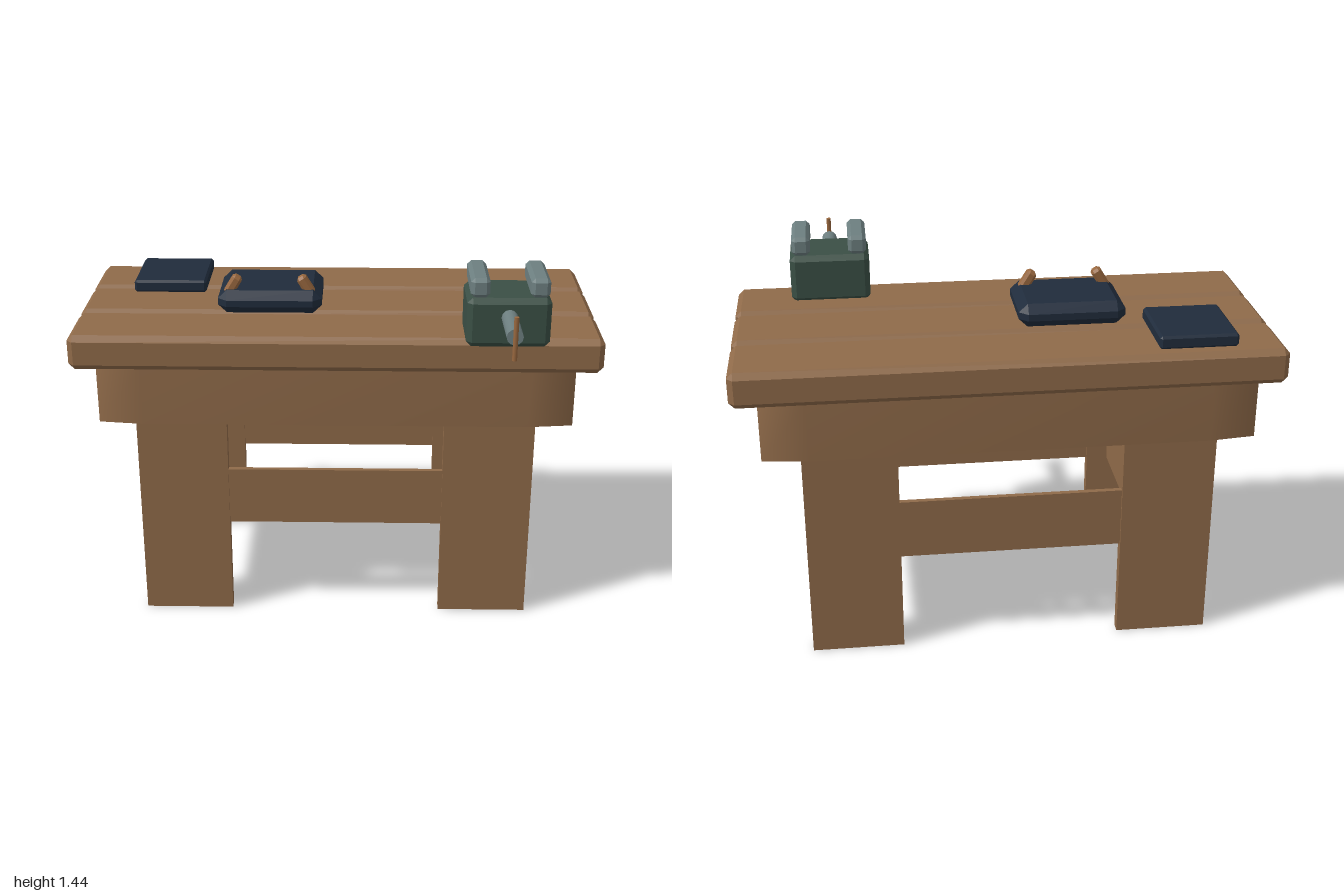
import * as THREE from 'three';
import { toCreasedNormals } from 'three/addons/utils/BufferGeometryUtils.js';
import { ConvexGeometry } from 'three/addons/geometries/ConvexGeometry.js';

const mat = (name, color) => {
  const m = new THREE.MeshStandardMaterial({ color });
  m.name = name;
  return m;
};

// box with every edge bevelled; bevel is [x, y, z]
function bevelBox(w, h, d, [bx, by, bz]) {
  const pts = [];
  for (const sx of [-1, 1]) for (const sy of [-1, 1]) for (const sz of [-1, 1]) {
    const add = (x, y, z) => pts.push(new THREE.Vector3(sx * x, sy * y, sz * z));
    add(w / 2, h / 2 - by, d / 2 - bz);
    add(w / 2 - bx, h / 2, d / 2 - bz);
    add(w / 2 - bx, h / 2 - by, d / 2);
  }
  return new ConvexGeometry(pts);
}

export function createModel() {
  const model = new THREE.Group();
  model.name = 'workbench';
  const wood = mat('wood', 0x8f6a49);
  const handleWood = mat('handle wood', 0x99683f);
  const navy = mat('navy', 0x202c3c);
  const green = mat('dark green metal', 0x3a4f45);
  const steel = mat('grey steel', 0x6d7f80);

  const add = (name, geo, material, x, y, z) => {
    const m = new THREE.Mesh(geo, material);
    m.name = name;
    m.position.set(x, y, z);
    model.add(m);
    return m;
  };
  const midZ = -0.14;

  // three top planks
  for (let i = -1; i <= 1; i++)
    add('topPlank', bevelBox(2, 0.135, 0.288, [0.022, 0.022, 0.022]), wood, 0, 1.1225, -0.1425 + i * 0.297);

  // apron: eight-sided block with shallow, softly shaded corners
  const apron = new THREE.CylinderGeometry(1, 1, 0.23, 8, 1, false, Math.PI / 8);
  const p = apron.attributes.position;
  const stretch = (v, far, near) => (Math.abs(v) < 0.01 ? 0 : Math.sign(v) * (Math.abs(v) > 0.5 ? far : near));
  for (let i = 0; i < p.count; i++)
    p.setXYZ(i, stretch(p.getX(i), 0.905, 0.735), p.getY(i), stretch(p.getZ(i), 0.405, 0.385));
  add('apron', toCreasedNormals(apron, 1.5), wood, 0, 0.94, midZ);

  // flat legs and the stretchers joining them
  for (const s of [-1, 1]) {
    for (const t of [-1, 1])
      add('leg', new THREE.BoxGeometry(0.348, 0.83, 0.04), wood, s * 0.591, 0.415, midZ + t * 0.365);
    add('longStretcher', new THREE.BoxGeometry(0.84, 0.23, 0.02), wood, 0, 0.505, midZ + s * 0.365);
    add('sideStretcher', new THREE.BoxGeometry(0.175, 0.23, 0.7), wood, s * 0.59, 0.505, midZ);
  }

  // flat case and tool bag with two leaning handles
  add('flatCase', bevelBox(0.29, 0.05, 0.31, [0.009, 0.009, 0.009]), navy, -0.675, 1.214, -0.375);
  add('toolBag', bevelBox(0.402, 0.09, 0.322, [0.034, 0.032, 0.032]), navy, -0.258, 1.234, -0.119);
  for (const s of [-1, 1]) {
    const h = add('bagHandle', bevelBox(0.04, 0.085, 0.045, [0.01, 0.01, 0.01]), handleWood, -0.26 + s * 0.142, 1.291, -0.022);
    h.rotation.z = s * 0.55;
  }

  // vise: body, jaws, screw and turning bar
  const vx = 0.632;
  add('viseBody', bevelBox(0.306, 0.187, 0.242, [0.02, 0.02, 0.02]), green, vx, 1.275, 0.238);
  for (const s of [-1, 1])
    add('viseJaw', bevelBox(0.07, 0.072, 0.242, [0.014, 0.014, 0.014]), steel, vx + s * 0.108, 1.408, 0.238);
  const screw = add('viseScrew', toCreasedNormals(new THREE.CylinderGeometry(0.03, 0.03, 0.23, 12), 0.8), steel, vx, 1.3, 0.445);
  screw.rotation.x = Math.PI / 2;
  add('viseBar', new THREE.CylinderGeometry(0.009, 0.009, 0.16, 10), handleWood, vx, 1.3, 0.576);

  return model;
}
